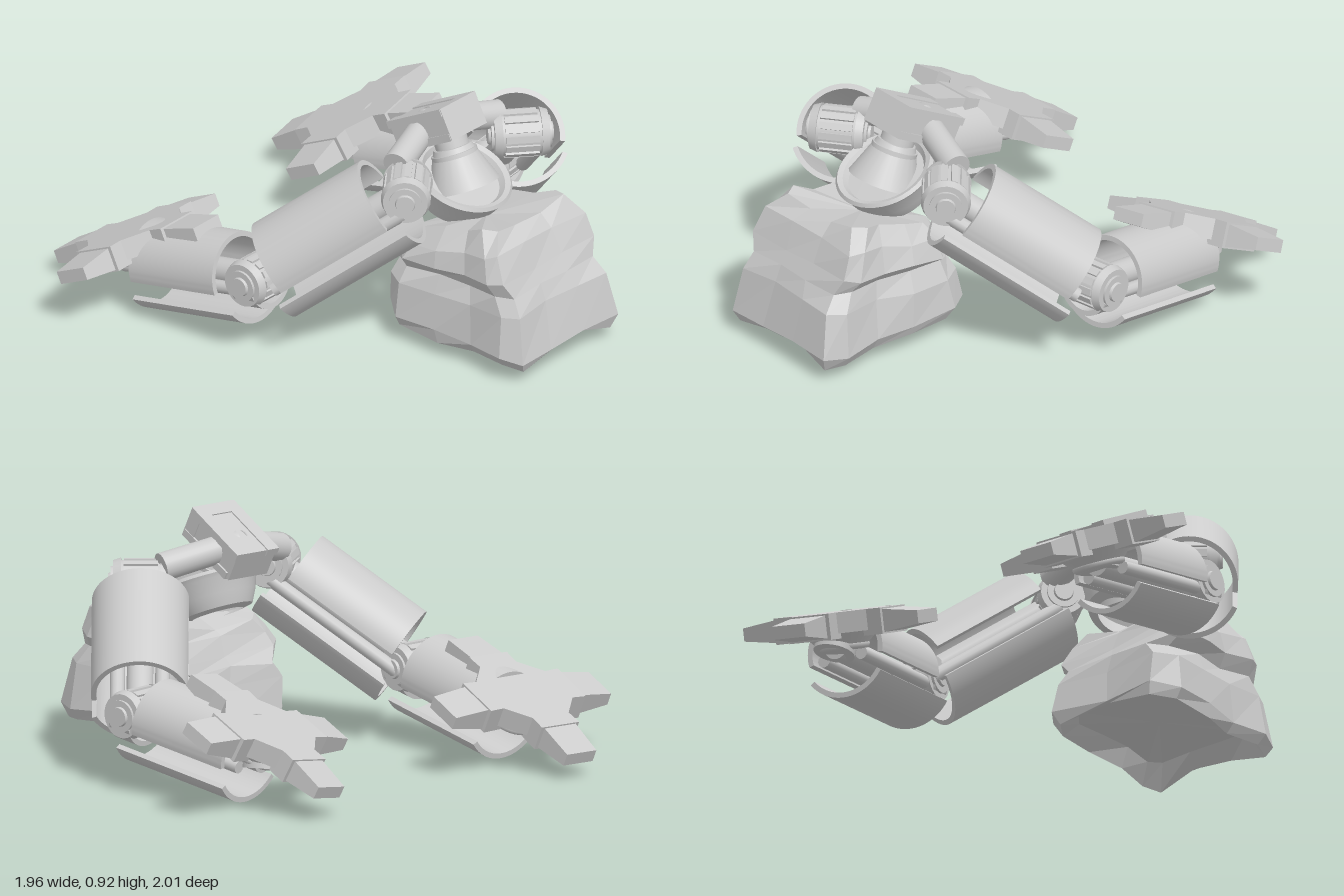
import * as THREE from 'three';
import { toCreasedNormals } from 'three/addons/utils/BufferGeometryUtils.js';

const smooth = new THREE.MeshStandardMaterial({ color: 0xcccccc, side: THREE.DoubleSide });
const faceted = new THREE.MeshStandardMaterial({ color: 0xcccccc, flatShading: true });
const V = (a) => new THREE.Vector3(...a);

function add(parent, name, geometry, material = smooth) {
  const mesh = new THREE.Mesh(geometry, material);
  mesh.name = name;
  parent.add(mesh);
  return mesh;
}

// Group at a, local z running towards b, local y as upright as possible
function frame(parent, name, a, b) {
  const g = new THREE.Group();
  g.name = name;
  const z = b.clone().sub(a).normalize();
  const x = new THREE.Vector3(0, 1, 0).cross(z).normalize();
  g.setRotationFromMatrix(new THREE.Matrix4().makeBasis(x, z.clone().cross(x), z));
  g.position.copy(a);
  parent.add(g);
  return g;
}

// Cylinder along local z
function rod(parent, name, r0, r1, z0, z1, x = 0, y = 0, sides = 24) {
  const geo = new THREE.CylinderGeometry(r1, r0, z1 - z0, sides).rotateX(Math.PI / 2);
  return add(parent, name, geo.translate(x, y, (z0 + z1) / 2));
}

// Curved armour plate, an arc of a tube along local z (degrees)
function shell(parent, name, r, from, to, z0, z1) {
  const a = THREE.MathUtils.degToRad(from), b = THREE.MathUtils.degToRad(to);
  const s = new THREE.Shape();
  s.absarc(0, 0, r, a, b, false);
  s.absarc(0, 0, r - 0.02, b, a, true);
  const geo = new THREE.ExtrudeGeometry(s, { depth: z1 - z0, bevelEnabled: false, curveSegments: 24 });
  return add(parent, name, toCreasedNormals(geo.translate(0, 0, z0), 0.6));
}

// Box from x = x0 outwards, narrowing to w1 by h1 at its end
function taperedBox(x0, length, w0, w1, h0, h1) {
  const geo = new THREE.BoxGeometry(length, 1, 1);
  const p = geo.attributes.position;
  for (let i = 0; i < p.count; i++) {
    const far = p.getX(i) > 0;
    p.setXYZ(i, p.getX(i) + x0 + length / 2, p.getY(i) * (far ? h1 : h0), p.getZ(i) * (far ? w1 : w0));
  }
  return geo;
}

// Ribbed hinge lying along the local x axis of its parent
function hinge(parent, name) {
  const g = new THREE.Group();
  g.name = name;
  g.rotation.y = Math.PI / 2;
  parent.add(g);
  rod(g, 'hingeDrum', 0.085, 0.085, -0.08, 0.08);
  for (let i = 0; i < 14; i++) {
    const a = (i / 14) * Math.PI * 2;
    const rib = add(g, 'hingeRib', new THREE.BoxGeometry(0.014, 0.026, 0.13));
    rib.position.set(Math.cos(a) * 0.085, Math.sin(a) * 0.085, 0);
    rib.rotation.z = a;
  }
  for (const s of [-1, 1]) {
    const cap = new THREE.Group();
    cap.name = 'hingeCap';
    if (s < 0) cap.rotation.y = Math.PI;
    g.add(cap);
    rod(cap, 'capDisc', 0.095, 0.085, 0.075, 0.105);
    rod(cap, 'capStep', 0.062, 0.062, 0.1, 0.115);
    rod(cap, 'capHub', 0.04, 0.035, 0.11, 0.125);
  }
}

// Cross-shaped hand: octagonal palm with four two-piece fingers
function hand(parent, at, yaw, tilt, roll) {
  const g = new THREE.Group();
  g.name = 'hand';
  g.position.copy(at);
  g.rotation.set(roll, yaw, tilt, 'YZX');
  parent.add(g);
  const c = 0.175, e = 0.085;
  const pts = [[c, -e], [c, e], [e, c], [-e, c], [-c, e], [-c, -e], [-e, -c], [e, -c]];
  const palm = new THREE.Shape(pts.map(([x, y]) => new THREE.Vector2(x, y)));
  add(g, 'palm', new THREE.ExtrudeGeometry(palm, { depth: 0.08, bevelEnabled: false })
    .rotateX(-Math.PI / 2).translate(0, -0.03, 0), faceted);
  add(g, 'palmBase', new THREE.CylinderGeometry(0.15, 0.1, 0.05, 32)).position.y = -0.05;
  add(g, 'wristRing', new THREE.TorusGeometry(0.085, 0.018, 10, 32).rotateX(Math.PI / 2)).position.y = -0.08;
  for (let i = 0; i < 4; i++) {
    const finger = new THREE.Group();
    finger.name = 'finger';
    finger.rotation.y = (i * Math.PI) / 2;
    g.add(finger);
    add(finger, 'knuckle', taperedBox(0.15, 0.085, 0.175, 0.185, 0.1, 0.1), faceted);
    add(finger, 'fingertip', taperedBox(0.225, 0.16, 0.155, 0.145, 0.09, 0.05), faceted);
  }
}

function arm(parent, p) {
  const [S, E, W, H] = [p.shoulder, p.elbow, p.wrist, p.hand].map(V);
  const g = new THREE.Group();
  g.name = p.name;
  parent.add(g);

  // Bar from the head to the shoulder
  const root = V([0.27, 0.8, -0.03]);
  const top = S.clone().add(V([-0.07, 0.06, 0]));
  rod(frame(g, 'shoulderBar', root, top), 'bar', 0.053, 0.055, 0, root.distanceTo(top) * 0.9);

  // Upper arm, its plates parted wider on the inner side
  const L = S.distanceTo(E);
  const upper = frame(g, 'upperArm', S, E);
  hinge(upper, 'shoulderHinge');
  rod(upper, 'upperCore', 0.05, 0.05, 0, L);
  for (const s of [-1, 1]) rod(upper, 'upperPiston', 0.028, 0.028, 0.04, L - 0.04, s * 0.085, -0.04, 12);
  const shift = p.innerSide * 10;
  shell(upper, 'upperShell', 0.185, shift, 180 + shift, 0.1, L * 0.87);
  shell(upper, 'lowerShell', 0.2, 205, 335, 0.05, L * 0.93);

  // Forearm
  const M = E.distanceTo(W);
  const fore = frame(g, 'forearm', E, W);
  hinge(fore, 'elbowHinge');
  shell(fore, 'elbowGuard', 0.12, 200, 340, -0.05, 0.05);
  rod(fore, 'foreCore', 0.05, 0.05, 0, M);
  for (const s of [-1, 1]) rod(fore, 'forePiston', 0.025, 0.025, 0.04, M - 0.05, s * 0.08, -0.03, 12);
  shell(fore, 'foreUpperShell', 0.16, -12, 192, 0.1, M * 0.88);
  shell(fore, 'foreLowerShell', 0.185, 216, 324, 0.03, M * 0.9);

  // Wrist and hand
  rod(frame(g, 'wrist', W, H), 'wristDrum', 0.08, 0.08, -0.03, W.distanceTo(H));
  hand(g, H, ...p.turn);
}

// Rugged rock lofted through scaled copies of one ragged, squarish outline
function rock(parent) {
  const outline = [[1, 0.9], [0.98, 0.3], [0.98, -0.3], [1, -0.9], [0.78, -1], [0.3, -0.92], [-0.2, -1],
    [-0.75, -0.98], [-1, -0.78], [-0.95, 0], [-1, 0.78], [-0.75, 0.98], [-0.2, 1], [0.3, 0.92], [0.78, 1]];
  // centre x, half length, half width, height, rise per unit of x
  const rings = [[0.62, 0.28, 0.23, 0.14, 0], [0.62, 0.335, 0.28, 0.07, -0.03], [0.62, 0.35, 0.3, 0.115, -0.03],
    [0.61, 0.325, 0.285, 0.26, 0.05], [0.6, 0.3, 0.255, 0.33, 0.06], [0.6, 0.275, 0.292, 0.38, 0.08],
    [0.59, 0.235, 0.272, 0.46, 0.18], [0.57, 0.195, 0.21, 0.525, 0.27]];
  const n = outline.length, pos = [], idx = [];
  let seed = 7;
  const jitter = () => ((seed = (seed * 16807) % 2147483647) / 2147483647 - 0.5) * 0.02;
  for (const [cx, hx, hz, y, rise] of rings)
    for (const [x, z] of outline) {
      const middle = Math.abs(z) < 0.5;
      const lift = middle && y < 0.1 ? 0.04 : middle && y > 0.5 ? -0.02 : 0;
      pos.push(cx + x * hx + jitter(), y + lift + rise * x * hx + jitter(), -0.03 + z * hz + jitter());
    }
  pos.push(0.62, 0.15, -0.03, 0.56, 0.5, -0.03);
  const low = n * rings.length, last = n * (rings.length - 1);
  for (let i = 0; i < n; i++) {
    const j = (i + 1) % n;
    for (let r = 0; r < last; r += n) idx.push(r + i, r + j, r + n + j, r + i, r + n + j, r + n + i);
    idx.push(low, j, i, low + 1, last + i, last + j);
  }
  const geo = new THREE.BufferGeometry();
  geo.setAttribute('position', new THREE.Float32BufferAttribute(pos, 3));
  geo.setIndex(idx);
  geo.computeVertexNormals();
  add(parent, 'rockBase', geo, faceted);
}

export function createModel() {
  const model = new THREE.Group();
  model.name = 'twoArmedMachine';
  rock(model);

  // Dished collar sloping down to the rear, with a tapered neck rising out of it
  const profile = [[0.1, -0.12], [0.14, -0.11], [0.165, -0.06], [0.185, 0], [0.195, 0.015], [0.185, 0.028],
    [0.165, 0.02], [0.15, -0.005], [0.001, 0]];
  const collar = add(model, 'collar',
    toCreasedNormals(new THREE.LatheGeometry(profile.map(([x, y]) => new THREE.Vector2(x, y)), 40), 0.5));
  collar.position.set(0.44, 0.615, -0.025);
  collar.rotation.z = -0.42;
  const neck = frame(model, 'neck', V([0.45, 0.585, -0.025]), V([0.36, 0.8, -0.03]));
  rod(neck, 'neckCone', 0.14, 0.075, 0, 0.16);
  rod(neck, 'neckRing', 0.09, 0.09, 0.11, 0.14);
  rod(neck, 'neckPost', 0.065, 0.065, 0.16, 0.24);

  // Head block with raised side rails and a rear plate
  const head = new THREE.Group();
  head.name = 'head';
  head.position.set(0.305, 0.803, -0.033);
  head.rotation.z = 0.49;
  model.add(head);
  add(head, 'headBlock', new THREE.BoxGeometry(0.29, 0.12, 0.19), faceted);
  for (const s of [-1, 1]) {
    add(head, 'topRail', new THREE.BoxGeometry(0.3, 0.03, 0.055), faceted).position.set(0, 0.05, s * 0.076);
    add(head, 'bottomRail', new THREE.BoxGeometry(0.28, 0.03, 0.05), faceted).position.set(0.01, -0.05, s * 0.078);
  }
  add(head, 'rearPlate', new THREE.BoxGeometry(0.06, 0.13, 0.2), faceted).position.set(0.123, 0, 0);

  arm(model, { name: 'leftArm', innerSide: -1, shoulder: [0.42, 0.67, 0.27], elbow: [-0.02, 0.29, 0.61],
    wrist: [-0.6, 0.18, 0.62], hand: [-0.62, 0.25, 0.62], turn: [0, 0.44, 0.02] });
  arm(model, { name: 'rightArm', innerSide: 1, shoulder: [0.43, 0.67, -0.37], elbow: [0.01, 0.29, -0.73],
    wrist: [-0.6, 0.19, -0.63], hand: [-0.59, 0.28, -0.615], turn: [0.065, 0.44, 0.15] });
  return model;
}
